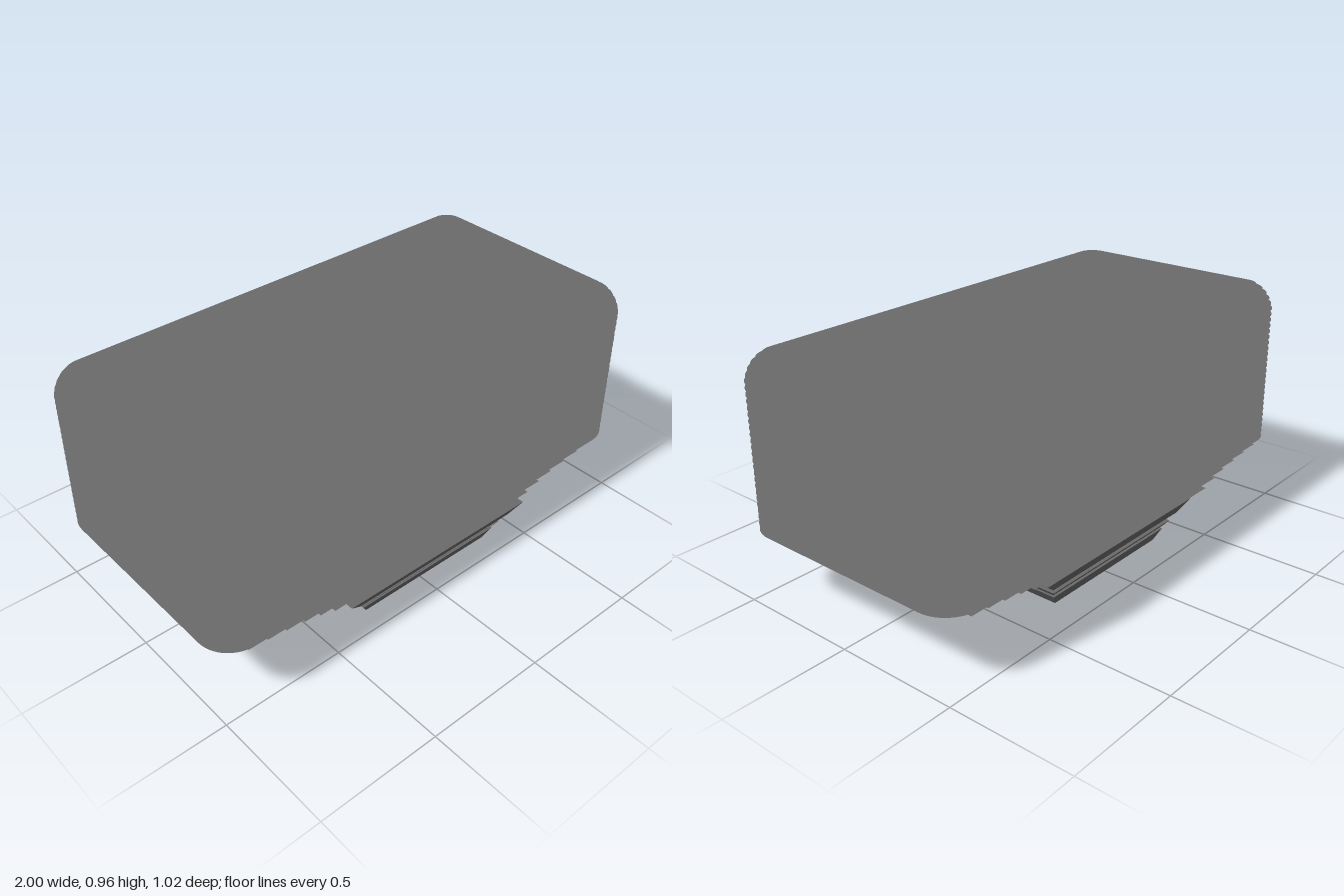
import * as THREE from 'three';

const mat = (name, color) => {
  const m = new THREE.MeshStandardMaterial({ color, side: THREE.DoubleSide });
  m.name = name;
  return m;
};

// Flat horizontal sheet with rounded corners
function sheetGeometry(hx, hz, r) {
  const s = new THREE.Shape();
  if (r > 0) {
    s.absarc(hx - r, hz - r, r, 0, Math.PI / 2);
    s.absarc(-hx + r, hz - r, r, Math.PI / 2, Math.PI);
    s.absarc(-hx + r, -hz + r, r, Math.PI, Math.PI * 1.5);
    s.absarc(hx - r, -hz + r, r, Math.PI * 1.5, Math.PI * 2);
  } else {
    s.moveTo(hx, hz).lineTo(-hx, hz).lineTo(-hx, -hz).lineTo(hx, -hz);
  }
  s.closePath();
  return new THREE.ShapeGeometry(s, 8).rotateX(-Math.PI / 2);
}

// Open wall through rings of [y, halfX, halfZ] around a unit outline, flat shaded;
// each band gets its own group, alternating between two material slots
function wallGeometry(rings, outline) {
  const pos = [];
  const g = new THREE.BufferGeometry();
  const n = outline.length;
  const pt = (ring, k) => [outline[k % n][0] * ring[1], ring[0], outline[k % n][1] * ring[2]];
  for (let i = 0; i < rings.length - 1; i++) {
    for (let k = 0; k < n; k++) {
      const a = pt(rings[i], k), b = pt(rings[i], k + 1);
      const c = pt(rings[i + 1], k + 1), d = pt(rings[i + 1], k);
      pos.push(...a, ...d, ...c, ...a, ...c, ...b);
    }
    g.addGroup(i * n * 6, n * 6, i % 2);
  }
  g.setAttribute('position', new THREE.Float32BufferAttribute(pos, 3));
  g.computeVertexNormals();
  return g;
}

// Smoothly resample a few rings
function resample(rings, count) {
  const curve = new THREE.CatmullRomCurve3(rings.map(r => new THREE.Vector3(...r)));
  return curve.getPoints(count).map(p => [p.y === undefined ? 0 : p.x, p.y, p.z]);
}

const HEX = [[0, 1], [1, 0.5], [1, -0.5], [0, -1], [-1, -0.5], [-1, 0.5]].reverse();
const RECT = [[1, 1], [-1, 1], [-1, -1], [1, -1]];

export function createModel() {
  const model = new THREE.Group();
  const gray = mat('gray', 0x6b6b6b);
  const black = mat('black', 0x080808);
  const red = mat('dark red', 0x8c1010);

  const add = (parent, name, geometry, material, x = 0, y = 0, z = 0) => {
    const m = new THREE.Mesh(geometry, material);
    m.name = name;
    m.position.set(x, y, z);
    parent.add(m);
    return m;
  };

  // Body: stacked thin layers with rounded corners
  const body = new THREE.Group();
  body.name = 'layeredBody';
  model.add(body);
  const layer = (y, inset) =>
    add(body, 'bodyLayer', sheetGeometry(1 - inset, 0.51 - inset, 0.135 - inset), gray, 0, y, 0);
  for (let i = 0; i <= 23; i++) layer(0.3 + i * 0.0245, 0);
  [[0.883, 0.005], [0.905, 0.014], [0.926, 0.027], [0.945, 0.045], [0.962, 0.07]].forEach(l => layer(...l));
  [[0.29, 0.02], [0.281, 0.05]].forEach(l => layer(...l));

  // Underside: layers narrowing in steps towards the base
  const under = new THREE.Group();
  under.name = 'steppedUnderside';
  model.add(under);
  [[0.274, 0.88], [0.266, 0.8], [0.256, 0.72], [0.244, 0.64], [0.228, 0.57], [0.207, 0.505]]
    .forEach(([y, hx]) => add(under, 'underLayer', sheetGeometry(hx, 0.49, 0), gray, 0, y, 0));

  // Base: three tapered trays, closed above and below
  const base = new THREE.Group();
  base.name = 'base';
  base.position.set(0.0175, 0, 0.0175);
  model.add(base);
  [
    [[0.02, 0.312, 0.402], [0.067, 0.345, 0.423]],
    [[0.083, 0.355, 0.428], [0.1, 0.368, 0.44]],
    [[0.132, 0.392, 0.458], [0.18, 0.453, 0.483]],
  ].forEach(rings => {
    add(base, 'trayWall', wallGeometry(rings, RECT.slice().reverse()), [gray, gray]);
    rings.forEach(([y, hx, hz]) => add(base, 'trayPlate', sheetGeometry(hx, hz, 0), gray, 0, y, 0));
  });

  // Core: six-sided wall flaring out sideways
  const core = resample([
    [0, 0.285, 0.335], [0.06, 0.29, 0.328], [0.13, 0.325, 0.322], [0.19, 0.37, 0.322],
    [0.25, 0.46, 0.326], [0.29, 0.575, 0.33], [0.315, 0.69, 0.333], [0.328, 0.8, 0.335],
  ], 24);
  add(model, 'flaredCore', wallGeometry(core, HEX), [black, black], 0, 0, 0.008);

  // Rim of the core, standing out below the bottom plate
  const rim = [[0.003, 0.285, 0.335], [0.003, 0.27, 0.317]];
  add(model, 'coreRim', wallGeometry(rim, HEX), [black, black], 0, 0, 0.008);

  // Inner cap: concave roof with thin red and black bands
  const cap = resample([
    [0.51, 0.82, 0.335], [0.53, 0.57, 0.29], [0.56, 0.4, 0.245], [0.605, 0.25, 0.2],
  ], 20);
  add(model, 'bandedCap', wallGeometry(cap, HEX), [red, black]);
  return model;
}
